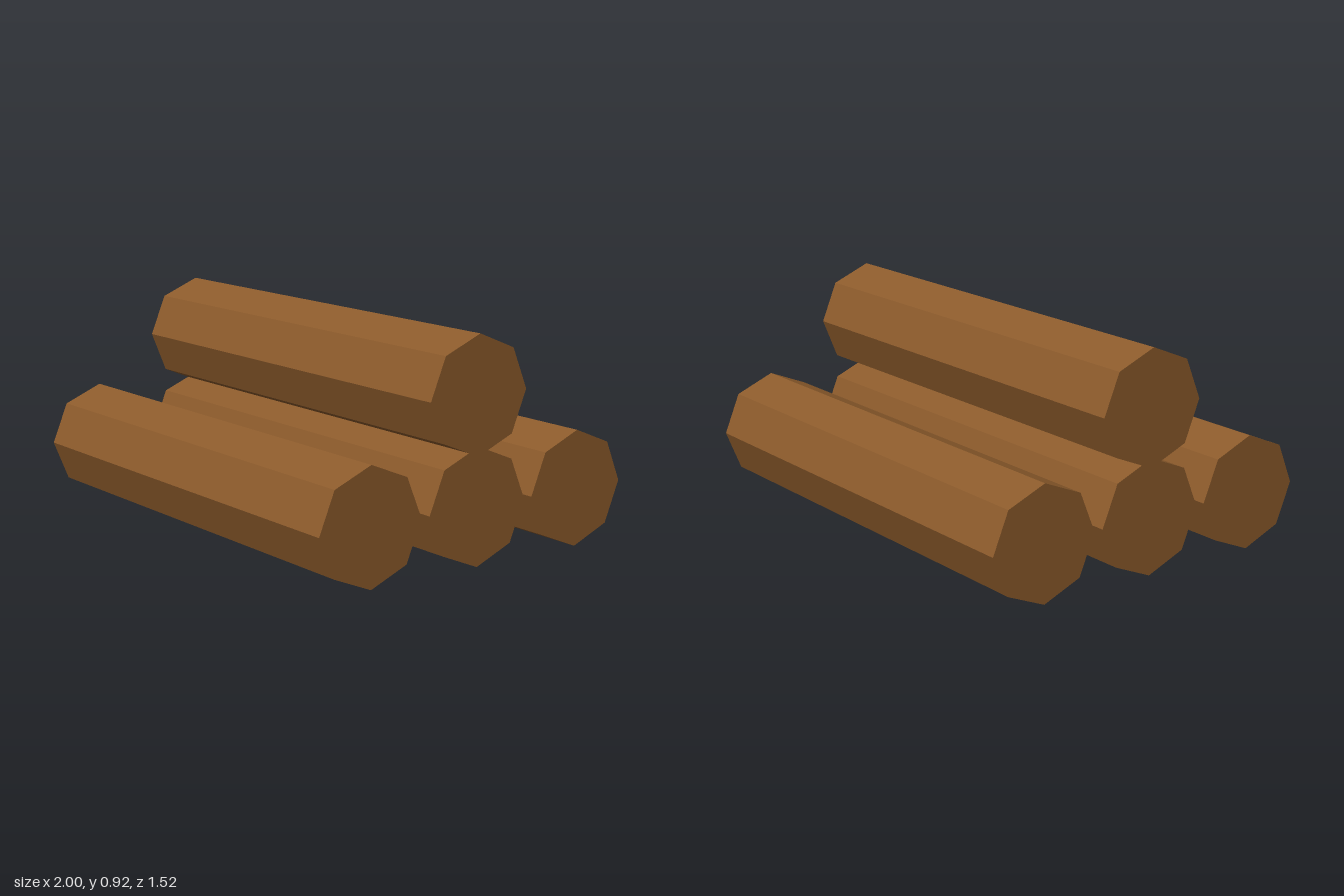
import * as THREE from 'three';

export function createModel() {
  const model = new THREE.Group();
  model.name = 'logPile';

  const wood = new THREE.MeshStandardMaterial({ color: 0x8b5a2b, flatShading: true });
  wood.name = 'brown wood';

  // Eight-sided log lying along x, with a corner pointing straight up
  const radius = 0.24;
  const logGeometry = new THREE.CylinderGeometry(radius, radius, 2, 8);
  logGeometry.rotateZ(Math.PI / 2);

  function addLog(name, y, z) {
    const log = new THREE.Mesh(logGeometry, wood);
    log.name = name;
    log.position.set(0, y, z);
    model.add(log);
  }

  // Three logs on the ground and one resting on the middle log
  addLog('frontLog', radius, 0.52);
  addLog('middleLog', radius, 0);
  addLog('backLog', radius, -0.52);
  addLog('topLog', 0.68, 0);

  return model;
}
